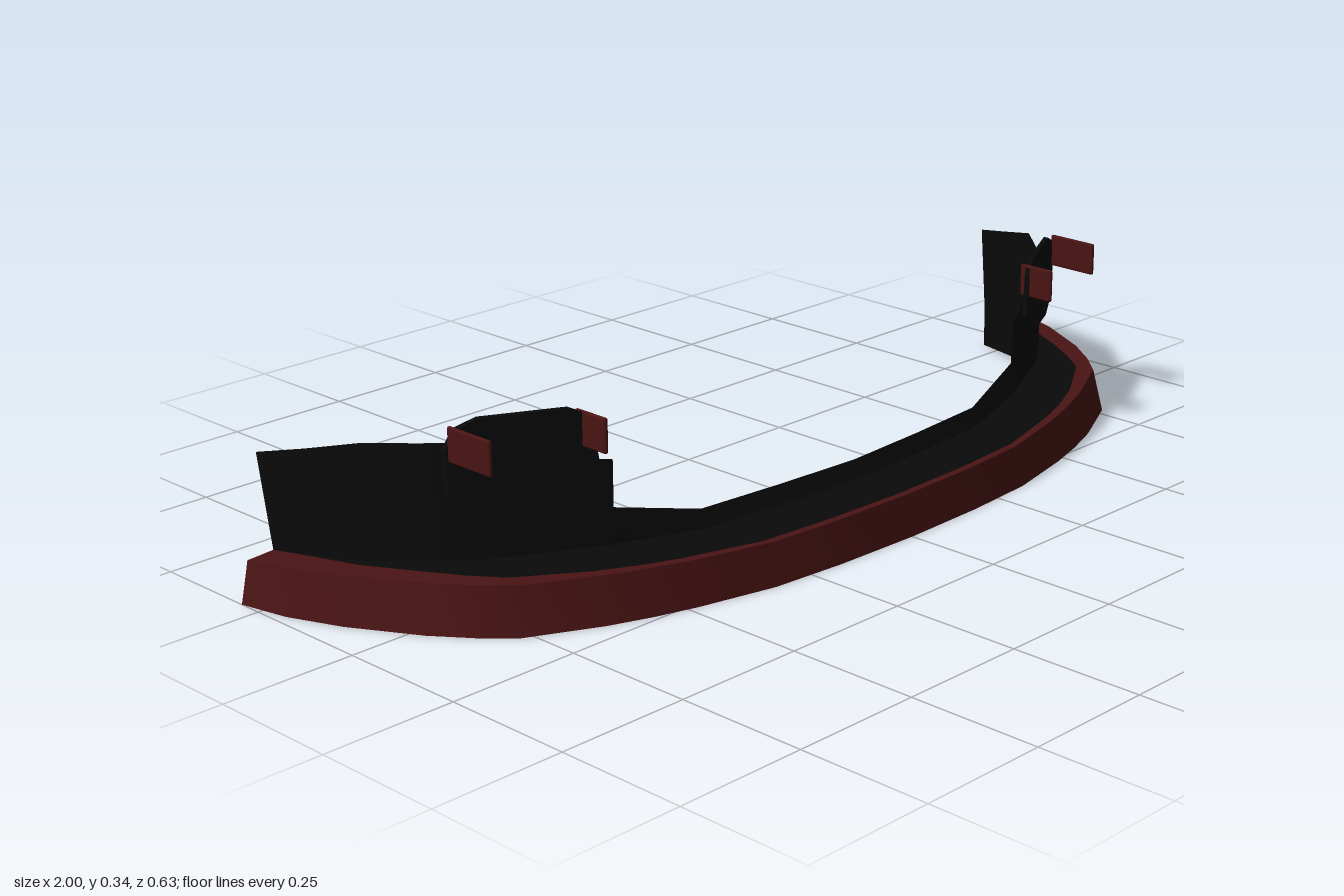
import * as THREE from 'three';
import { RoundedBoxGeometry } from 'three/addons/geometries/RoundedBoxGeometry.js';

const red = new THREE.MeshStandardMaterial({ color: 0x4a1414, side: THREE.DoubleSide });
const black = new THREE.MeshStandardMaterial({ color: 0x0a0a0a, side: THREE.DoubleSide });

// Half of the sweep: lip edge x, z, wall x, z, wall top height, lip top height, wall base height
const half = [
  [0, 0.315, 0, 0.175, 0.11, 0.075, 0.01],
  [0.18, 0.31, 0.18, 0.164, 0.11, 0.075, 0.01],
  [0.33, 0.298, 0.36, 0.148, 0.11, 0.075, 0.01],
  [0.48, 0.264, 0.525, 0.105, 0.148, 0.078, 0.015],
  [0.48, 0.264, 0.525, 0.108, 0.235, 0.078, 0.015],
  [0.56, 0.24, 0.565, 0.09, 0.24, 0.08, 0.02],
  [0.64, 0.21, 0.64, 0.055, 0.29, 0.082, 0.02],
  [0.77, 0.145, 0.73, 0.01, 0.293, 0.084, 0.02],
  [0.82, 0.092, 0.765, -0.025, 0.293, 0.084, 0.02],
  [0.87, 0.025, 0.8, -0.06, 0.293, 0.084, 0.02],
  [0.94, -0.1, 0.865, -0.13, 0.293, 0.082, 0.015],
  [0.98, -0.2, 0.905, -0.225, 0.27, 0.079, 0.005],
  [1, -0.295, 0.93, -0.295, 0.25, 0.075, 0],
];

// Mirror a half row of points across x
function mirrored(points) {
  const other = points.slice(1).reverse();
  return [...other.map((p) => new THREE.Vector3(-p.x, p.y, p.z)), ...points];
}

// Surface between two rows of points
function ribbon(a, b) {
  const pos = [], index = [];
  a.forEach((p, i) => {
    pos.push(...p.toArray(), ...b[i].toArray());
    if (i) {
      const k = 2 * i;
      index.push(k - 2, k, k - 1, k - 1, k, k + 1);
    }
  });
  const g = new THREE.BufferGeometry();
  g.setAttribute('position', new THREE.Float32BufferAttribute(pos, 3));
  g.setIndex(index);
  g.computeVertexNormals();
  return g;
}

function add(group, name, geometry, material) {
  const mesh = new THREE.Mesh(geometry, material);
  mesh.name = name;
  group.add(mesh);
  return mesh;
}

function createLamp() {
  const lamp = new THREE.Group();

  // Chamfered back plate, sheared to follow the wall
  const outline = [[0.558, 0.235], [0.568, 0.31], [0.576, 0.327], [0.6, 0.34],
    [0.735, 0.34], [0.77, 0.325], [0.788, 0.29], [0.785, 0.21], [0.74, 0.18], [0.6, 0.18]];
  const plate = new THREE.ExtrudeGeometry(
    new THREE.Shape(outline.map(([x, y]) => new THREE.Vector2(x, y))),
    { depth: 0.01, bevelEnabled: false });
  const p = plate.attributes.position;
  for (let i = 0; i < p.count; i++) {
    p.setZ(i, p.getZ(i) + 0.1 - 0.52 * (p.getX(i) - 0.565));
  }
  plate.computeVertexNormals();
  add(lamp, 'lampBackPlate', plate, black);

  // Upright fins at the inner and outer ends
  for (const [name, x, z, depth] of [
    ['innerFin', 0.58, 0.118, 0.075], ['outerFin', 0.781, 0.048, 0.105]]) {
    const fin = add(lamp, name, new RoundedBoxGeometry(0.008, 0.063, depth, 2, 0.004), red);
    fin.position.set(x, 0.301, z);
  }
  return lamp;
}

export function createModel() {
  const group = new THREE.Group();
  const V = (x, y, z) => new THREE.Vector3(x, y, z);
  const last = half.length - 1;

  // Rows running from one end of the sweep to the other
  const lipBottom = mirrored(half.map(([x, z]) => V(x, 0, z)));
  const lipTop = mirrored(half.map(([x, z, , , , h], i) =>
    V(x * 0.983, h, i < last ? z - 0.016 : z)));
  const foot = mirrored(half.map(([, , x, z, , h]) => V(x, h + 0.003, z > 0.12 ? z + 0.015 : z)));
  const base = mirrored(half.map(([, , x, z, , , y]) => V(x, y, z)));
  const rim = mirrored(half.map(([, , x, z, top], i) =>
    i < last ? V(x, top, z) : V(0.938, top, -0.315)));

  // Red trim is narrow in the middle and covers the full depth at the ends
  const trim = (outer, inner) => outer.map((p, i) =>
    p.clone().lerp(inner[i], 0.12 + 0.88 * Math.abs(p.x / outer[0].x) ** 6));
  const trimTop = trim(lipTop, foot);
  const trimBottom = trim(lipBottom, base);

  // Lower lip
  add(group, 'lipFront', ribbon(lipBottom, lipTop), red);
  add(group, 'lipTopTrim', ribbon(lipTop, trimTop), red);
  add(group, 'lipShelf', ribbon(trimTop, foot), black);
  add(group, 'lipBottomTrim', ribbon(trimBottom, lipBottom), red);
  add(group, 'lipUnderside', ribbon(base, trimBottom), black);
  for (const i of [0, lipTop.length - 1]) {
    add(group, 'lipEndCap', ribbon([lipBottom[i], base[i]], [lipTop[i], foot[i]]), red);
  }

  // Upright wall behind the lip
  add(group, 'wallBase', ribbon(base, foot), black);
  add(group, 'wall', ribbon(foot, rim), black);

  // Lamp on each side
  for (const side of [1, -1]) {
    const lamp = createLamp();
    lamp.name = side > 0 ? 'leftLamp' : 'rightLamp';
    lamp.scale.x = side;
    group.add(lamp);
  }
  return group;
}
